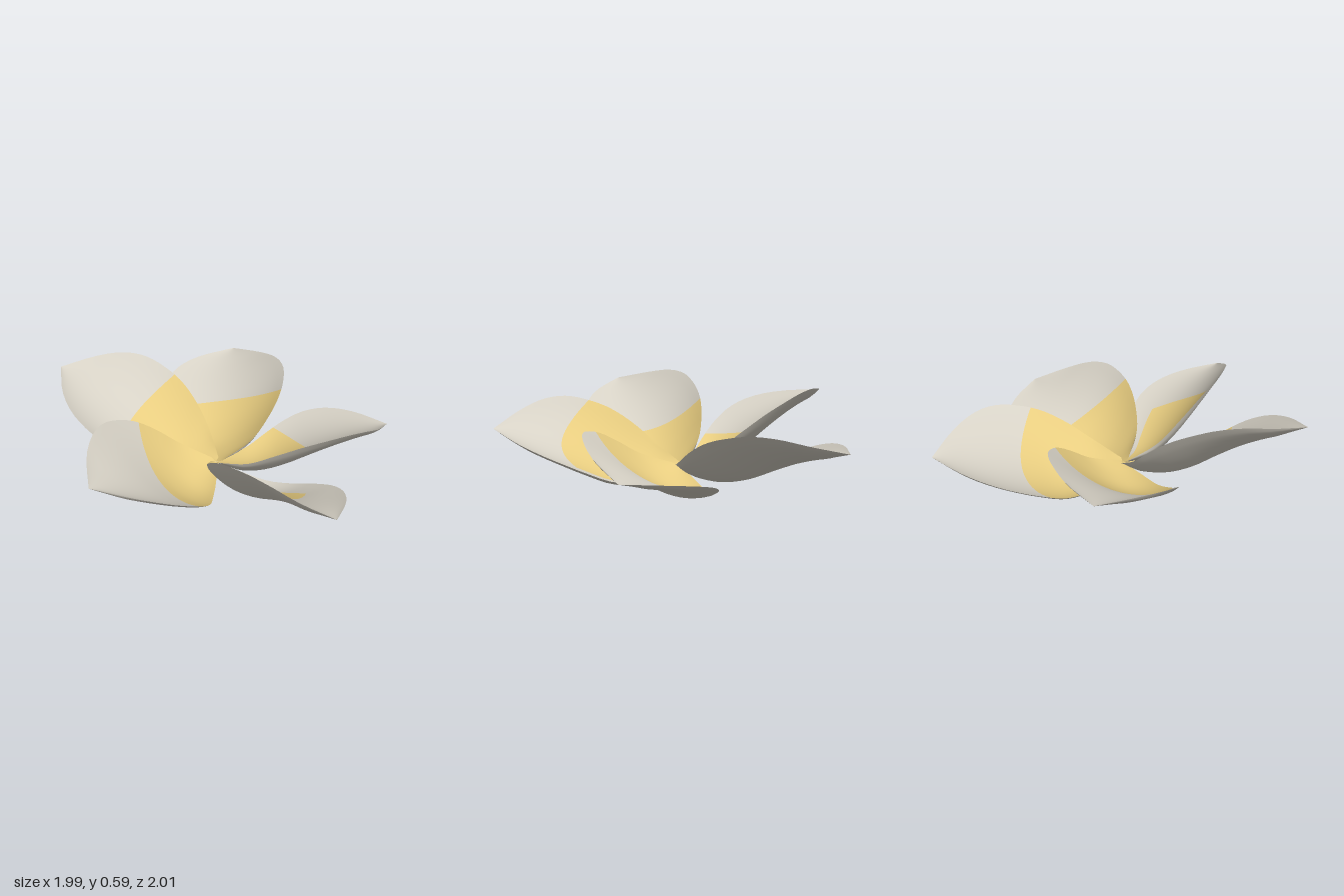
import * as THREE from 'three';

const LENGTH = 1.065;
// Petal profiles at nine even stations from base to tip
const HIGH_WIDTH = [0.035, 0.172, 0.25, 0.295, 0.31, 0.30, 0.25, 0.155, 0];
const LOW_WIDTH = [0.005, 0.13, 0.23, 0.32, 0.37, 0.38, 0.33, 0.205, 0];
const RIM = [0.01, 0.09, 0.19, 0.27, 0.32, 0.35, 0.345, 0.305, 0.25];
const TROUGH = [0, -0.035, -0.05, -0.02, 0.045, 0.11, 0.165, 0.212, 0.25];

// Each petal: heading and lift in degrees or radians, relative sizes, and the
// yellow patch (end along the petal, curve and skew of its edge, first column)
const PETALS = [
  { name: 'frontPetal', angle: 94.5, length: 0.99, low: 0.87, high: 0.97, pitch: 0, roll: 0,
    end: 0.68, curve: 0.72, skew: -0.12, firstCol: 4 },
  { name: 'rightPetal', angle: 166.7, length: 1.03, low: 0.89, high: 1.02, pitch: 0, roll: 0,
    end: 0.5, curve: 0.09, skew: 0.32, firstCol: 0 },
  { name: 'backRightPetal', angle: 243.1, length: 1.025, low: 0.98, high: 0.96, pitch: 0.02, roll: 0.05,
    end: 0.555, curve: 0.42, skew: -0.06, firstCol: 0 },
  { name: 'backLeftPetal', angle: 313.5, length: 1.005, low: 1.02, high: 1.12, pitch: 0.02, roll: 0.06,
    end: 0.585, curve: 0.42, skew: 0.05, firstCol: 0 },
  { name: 'leftPetal', angle: 385.3, length: 0.98, low: 1, high: 1.13, pitch: 0.015, roll: 0.03,
    end: 0.56, curve: 0.36, skew: 0, firstCol: 0 },
];

// Smooth interpolation through a profile
function sample(p, u) {
  const n = p.length - 1;
  const f = THREE.MathUtils.clamp(u / LENGTH, 0, 1) * n;
  const i = Math.min(Math.floor(f), n - 1), t = f - i;
  const b = p[i], c = p[i + 1];
  const a = i > 0 ? p[i - 1] : 2 * b - c;
  const d = i < n - 1 ? p[i + 2] : 2 * c - b;
  return b + 0.5 * t * (c - a + t * (2 * a - 5 * b + 4 * c - d + t * (3 * (b - c) + d - a)));
}

// Cupped petal surface: s runs from base to tip, t across (-1 low rim, 1 high rim)
function petalPoint(petal, s, t) {
  const u = s - (petal.curve * t * t + petal.skew * t) * s * (LENGTH - s);
  const high = petal.high * sample(HIGH_WIDTH, u), low = petal.low * sample(LOW_WIDTH, u);
  const v = THREE.MathUtils.lerp(-low, high, (t + 1) / 2);
  const v0 = -0.48 * low, span = Math.max(high - v0, 1e-5);
  const trough = sample(TROUGH, u);
  const y = trough + (sample(RIM, u) - trough) * ((v - v0) / span) ** 2;
  return new THREE.Vector3(u * petal.length, y, v);
}

function petalGeometry(petal) {
  const yellowRows = 14, rows = 28, cols = 20, thickness = 0.02;
  const top = [], bottom = [];
  for (let i = 0; i <= rows; i++) {
    const s = i <= yellowRows
      ? petal.end * i / yellowRows
      : petal.end + (LENGTH - petal.end) * (i - yellowRows) / (rows - yellowRows);
    for (let j = 0; j <= cols; j++) {
      const t = 2 * j / cols - 1;
      const p = petalPoint(petal, s, t);
      // Offset the underside along the normal, thinning to nothing at the rim
      const sn = THREE.MathUtils.clamp(s, 0.02, LENGTH - 0.02);
      const du = petalPoint(petal, sn + 0.01, t).sub(petalPoint(petal, sn - 0.01, t));
      const dv = petalPoint(petal, sn, t + 0.01).sub(petalPoint(petal, sn, t - 0.01));
      const normal = dv.cross(du).normalize();
      const taper = Math.sqrt(1 - t * t) * Math.min(1, (LENGTH - s) / 0.15, s / 0.15);
      top.push(...p.toArray());
      bottom.push(...p.addScaledVector(normal, -thickness * taper).toArray());
    }
  }
  const yellow = [], white = [], offset = top.length / 3, w = cols + 1;
  for (let i = 0; i < rows; i++) for (let j = 0; j < cols; j++) {
    const a = i * w + j, b = a + 1, c = a + w, d = c + 1;
    const upper = i < yellowRows && j >= petal.firstCol ? yellow : white;
    upper.push(a, b, c, b, d, c);
    white.push(...[a, c, b, b, c, d].map((k) => k + offset));
  }

  const geometry = new THREE.BufferGeometry();
  geometry.setAttribute('position', new THREE.Float32BufferAttribute([...top, ...bottom], 3));
  geometry.setIndex([...yellow, ...white]);
  geometry.addGroup(0, yellow.length, 0);
  geometry.addGroup(yellow.length, white.length, 1);
  geometry.computeVertexNormals();
  return geometry;
}

export function createModel() {
  const yellow = new THREE.MeshStandardMaterial({ color: 0xe8cd80, side: THREE.DoubleSide });
  yellow.name = 'warm yellow';
  const white = new THREE.MeshStandardMaterial({ color: 0xd6d1c5, side: THREE.DoubleSide });
  white.name = 'petal white';

  // Five overlapping petals in a pinwheel around a tilted axis
  const flower = new THREE.Group();
  flower.name = 'flower';
  for (const petal of PETALS) {
    const mesh = new THREE.Mesh(petalGeometry(petal), [yellow, white]);
    mesh.name = petal.name;
    mesh.rotation.set(-petal.roll, -THREE.MathUtils.degToRad(petal.angle), petal.pitch, 'YZX');
    flower.add(mesh);
  }
  flower.quaternion.setFromUnitVectors(
    new THREE.Vector3(0, 1, 0), new THREE.Vector3(0.16, 1, 0.03).normalize());
  flower.position.set(0.02, 0.11, -0.045);

  const model = new THREE.Group();
  model.name = 'blossom';
  model.add(flower);
  return model;
}
